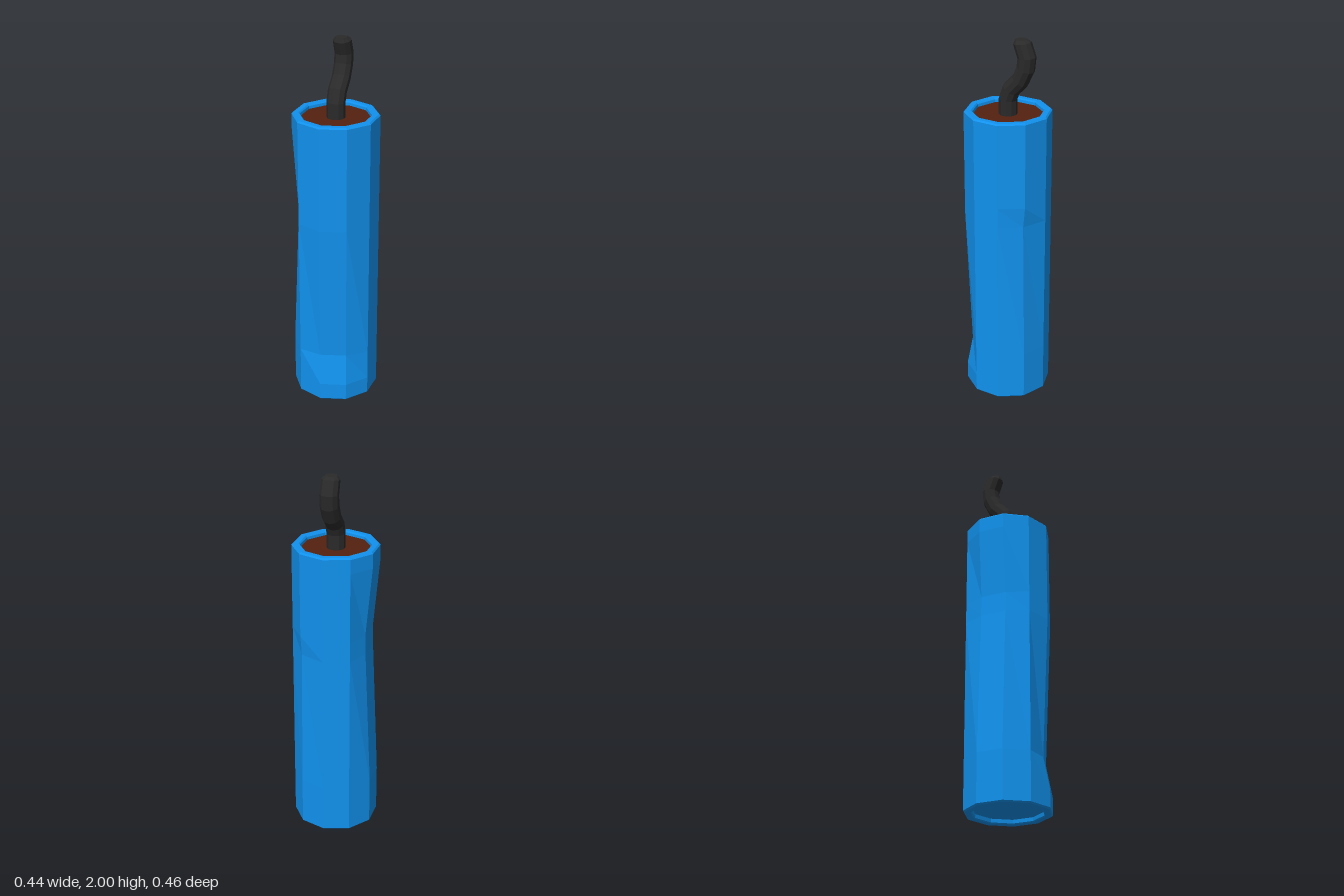
import * as THREE from 'three';

const SIDES = 10;

const paint = (color, extra = {}) =>
  new THREE.MeshStandardMaterial({ color, flatShading: true, ...extra });

// Ten-sided tube with recessed ends and a few dents pressed into its wall
function makeCasing() {
  const profile = [
    [0, 0.025], [0.184, 0.025], [0.186, 0.006], [0.192, 0], [0.222, 0], [0.23, 0.008],
    [0.23, 0.1], [0.23, 0.27], [0.23, 1.04], [0.23, 1.15], [0.23, 1.53],
    [0.23, 1.608], [0.222, 1.616], [0.193, 1.616], [0.186, 1.609], [0.184, 1.59],
  ].map(([r, y]) => new THREE.Vector2(r, y));
  const geometry = new THREE.LatheGeometry(profile, SIDES);

  // Each dent moves some corners of one height level: [corners, y, dx, dz]
  const dents = [
    [[0, 1], 0.27, -0.012, -0.03],
    [[7, 8], 1.15, 0.035, 0],
    [[7, 8], 1.04, 0.033, 0],
    [[4], 1.04, -0.003, 0.012],
  ];
  const pos = geometry.attributes.position;
  for (const [corners, y, dx, dz] of dents) {
    const row = profile.findIndex((p) => p.y === y);
    for (let i = 0; i <= SIDES; i++) {
      if (!corners.includes(i % SIDES)) continue;
      const k = i * profile.length + row;
      pos.setX(k, pos.getX(k) + dx);
      pos.setZ(k, pos.getZ(k) + dz);
    }
  }
  geometry.computeVertexNormals();
  return new THREE.Mesh(geometry, paint(0x1192ee, { side: THREE.DoubleSide }));
}

// Bent cord swept through tilted rings: [y, z, radius, tilt]
function makeFuse() {
  const rings = [
    [1.59, 0, 0.048, 0], [1.675, 0, 0.048, 0.1], [1.73, -0.02, 0.048, 0.55],
    [1.785, -0.073, 0.048, 0.65], [1.85, -0.104, 0.048, 0.3], [1.91, -0.111, 0.048, -0.1],
    [1.982, -0.084, 0.047, -0.15], [2, -0.076, 0.031, 0], [2, -0.076, 0, 0],
  ];
  const points = [];
  const index = [];
  rings.forEach(([y, z, r, tilt], j) => {
    for (let i = 0; i < SIDES; i++) {
      const a = (i / SIDES) * Math.PI * 2;
      const out = r * Math.cos(a);
      points.push(r * 1.03 * Math.sin(a), y + out * Math.sin(tilt), z + out * Math.cos(tilt));
      if (j === 0) continue;
      const n = (i + 1) % SIDES;
      const low = (j - 1) * SIDES;
      const high = j * SIDES;
      index.push(low + i, low + n, high + n, low + i, high + n, high + i);
    }
  });
  const geometry = new THREE.BufferGeometry();
  geometry.setAttribute('position', new THREE.Float32BufferAttribute(points, 3));
  geometry.setIndex(index);
  geometry.computeVertexNormals();
  return new THREE.Mesh(geometry, paint(0x2a2a2a));
}

export function createModel() {
  const model = new THREE.Group();
  model.name = 'fusedStick';

  const casing = makeCasing();
  casing.name = 'casing';

  // Filling that closes the top recess, corners aligned with the casing
  const filling = new THREE.Mesh(
    new THREE.CircleGeometry(0.186, SIDES, Math.PI / 2).rotateX(-Math.PI / 2),
    paint(0x54200f),
  );
  filling.name = 'filling';
  filling.position.y = 1.594;

  const fuse = makeFuse();
  fuse.name = 'fuse';

  model.add(casing, filling, fuse);
  return model;
}
